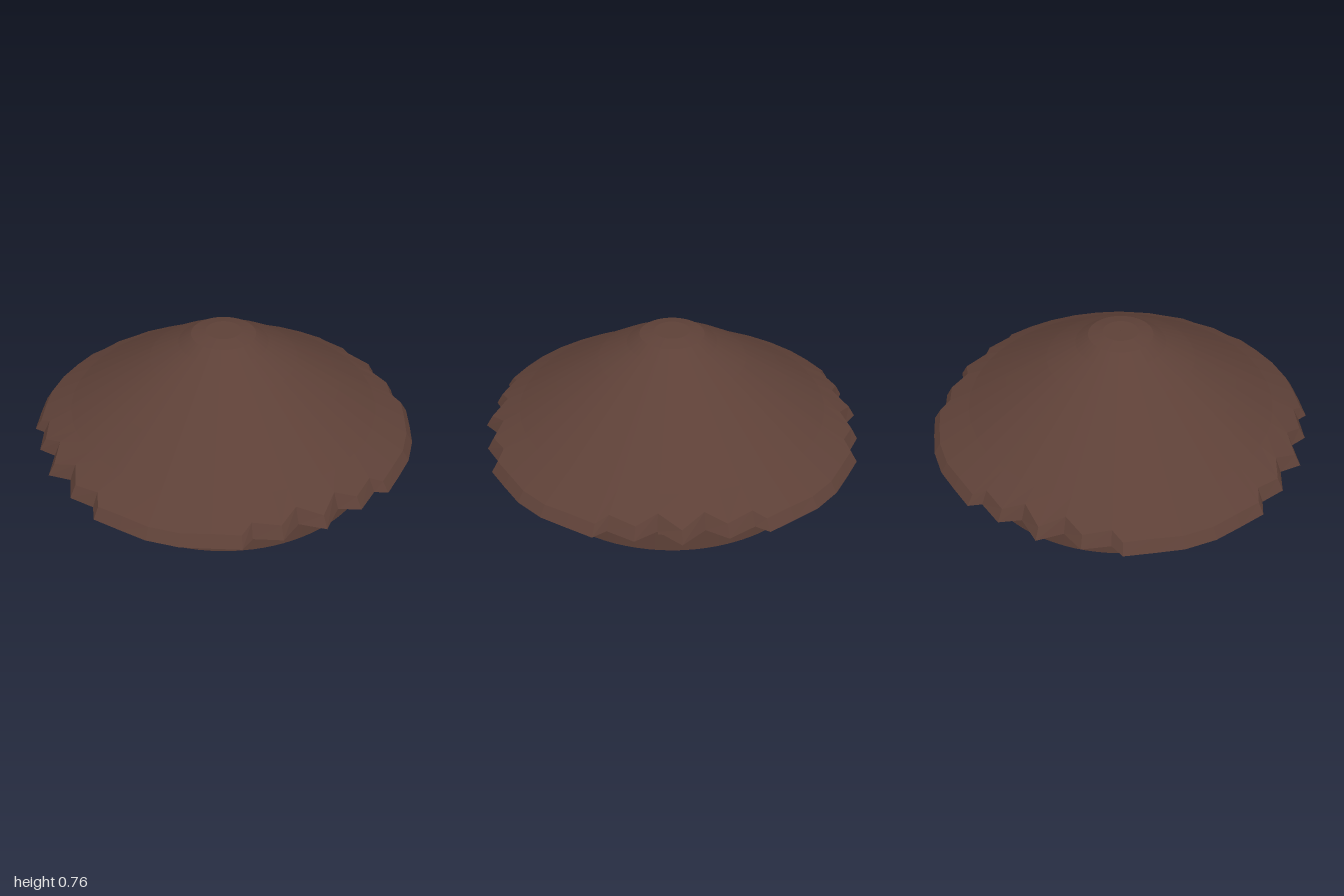
import * as THREE from 'three';

const DEG = Math.PI / 180;

// Ragged eave outline: one eighth, mirrored and turned into a full loop of [x, z]
function eaveOutline() {
  const eighth = [[0.08, 1], [0.22, 0.97], [0.36, 0.935], [0.39, 0.87], [0.525, 0.83], [0.57, 0.725], [0.7, 0.7]];
  const mirrored = eighth.slice(0, -1).reverse().map(([x, z]) => [z, x]);
  let quarter = [...eighth, ...mirrored];
  const loop = [];
  for (let q = 0; q < 4; q++) {
    loop.push(...quarter);
    quarter = quarter.map(([x, z]) => [z, -x]);
  }
  return loop;
}

// Skin a stack of equally long rings of [x, y, z], listed from the bottom up
function skin(rings) {
  const n = rings[0].length;
  const index = [];
  for (let r = 0; r < rings.length - 1; r++) {
    for (let i = 0; i < n; i++) {
      const j = (i + 1) % n;
      const a = r * n + i, b = r * n + j, c = a + n, d = b + n;
      index.push(a, b, d, a, d, c);
    }
  }
  const geometry = new THREE.BufferGeometry();
  geometry.setAttribute('position', new THREE.Float32BufferAttribute(rings.flat(2), 3));
  geometry.setIndex(index);
  geometry.computeVertexNormals();
  return geometry;
}

function roofGeometry() {
  const outline = eaveOutline();
  const circle = (radius, y) => outline.map(([x, z]) => {
    const k = radius / Math.hypot(x, z);
    return [x * k, y, z * k];
  });
  const lowerRim = outline.map(([x, z]) => [x, 0.2 + Math.max(0, 1 - Math.hypot(x, z)) * 0.3, z]);
  const upperRim = outline.map(([x, z]) => {
    const r = Math.hypot(x, z);
    const k = (r - 0.035) / r;
    return [x * k, 0.255 + (0.965 - r * k) * 0.59, z * k];
  });
  const slope = [[0.8, 0.345], [0.6, 0.472], [0.38, 0.61], [0.23, 0.695], [0.165, 0.74], [0.09, 0.757], [0.001, 0.757]];
  return skin([circle(0.001, 0.195), circle(0.8, 0.195), lowerRim, upperRim,
    ...slope.map(([r, y]) => circle(r, y))]);
}

export function createModel() {
  const model = new THREE.Group();
  model.name = 'roundHut';
  const brown = new THREE.MeshStandardMaterial({ color: 0x5d4037, side: THREE.DoubleSide });
  brown.name = 'darkBrown';
  const thatch = brown.clone();
  thatch.name = 'darkBrownFaceted';
  thatch.flatShading = true;

  const add = (name, geometry, material, parent = model) => {
    const mesh = new THREE.Mesh(geometry, material);
    mesh.name = name;
    parent.add(mesh);
    return mesh;
  };

  // Roof with ragged eaves and a closed underside
  add('roof', roofGeometry(), thatch);

  // Floor disc
  add('floor', new THREE.CircleGeometry(0.8, 96).rotateX(Math.PI / 2), brown);

  // Round wall: bands above and below the windows, piers between them
  const wall = new THREE.Group();
  wall.name = 'wall';
  model.add(wall);
  const wallPiece = (name, y0, y1, start = 0, sweep = 360) => add(name,
    new THREE.CylinderGeometry(0.8, 0.8, y1 - y0, Math.ceil(sweep / 4), 1, true, start * DEG, sweep * DEG)
      .translate(0, (y0 + y1) / 2, 0), brown, wall);
  const sill = 0.097, lintel = 0.188, halfWidth = 6.2;
  wallPiece('lowerWall', 0, sill);
  wallPiece('upperWall', lintel, 0.225);

  // Window centres in degrees, counted from the front towards the left side
  const windows = [];
  for (let k = 0; k < 5; k++) windows.push(-57 + 32.5 * k);
  for (let k = 0; k < 6; k++) windows.push(101.2 + 32.5 * k);
  windows.forEach((centre, i) => {
    const next = i + 1 < windows.length ? windows[i + 1] : windows[0] + 360;
    wallPiece('pier', sill, lintel, centre + halfWidth, next - centre - 2 * halfWidth);
  });

  return model;
}
